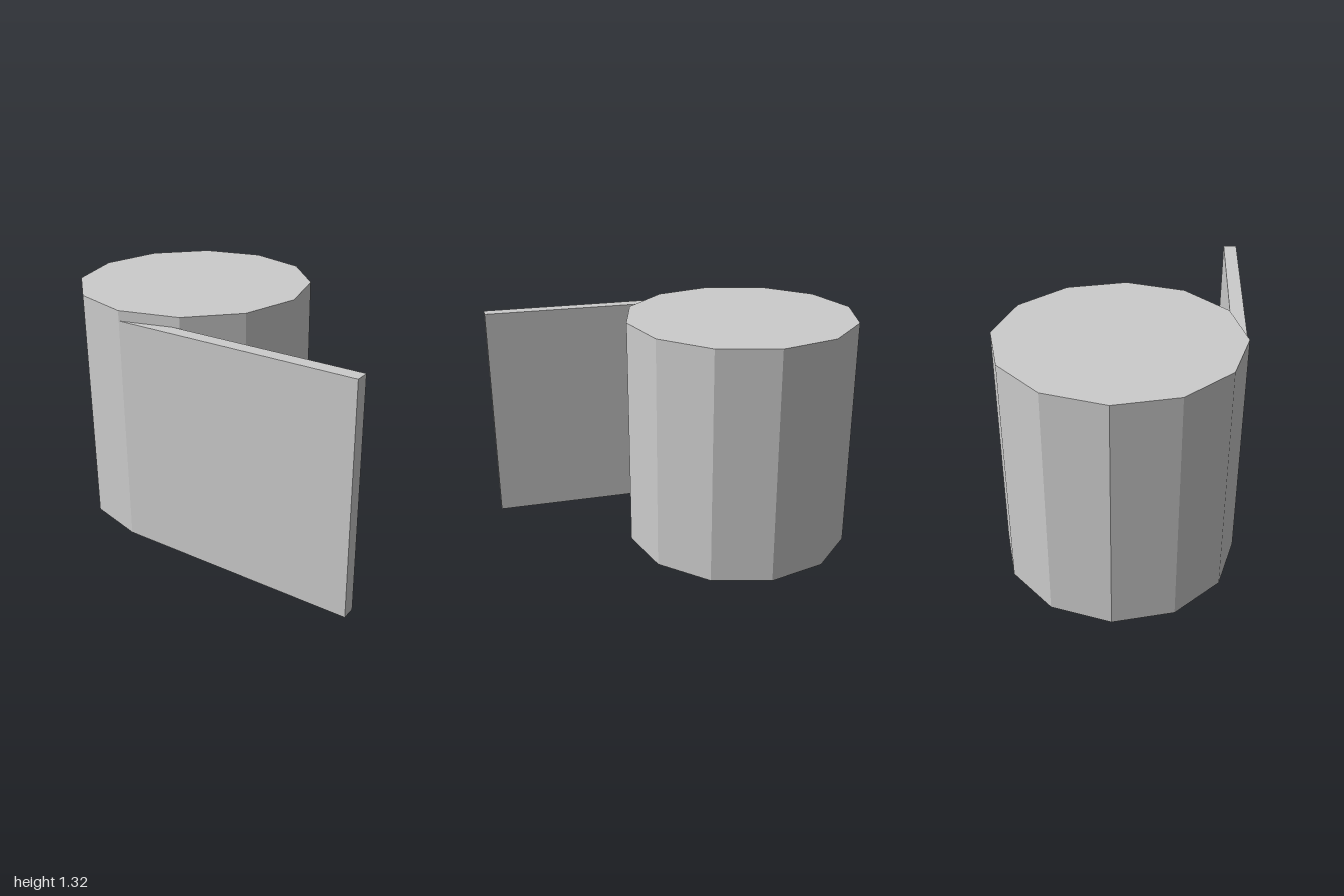
import * as THREE from 'three';

export function createModel() {
  const model = new THREE.Group();
  const grey = new THREE.MeshStandardMaterial({ color: 0xcccccc, flatShading: true });
  grey.name = 'light grey';

  const radius = 0.645;
  const centreX = -1 + radius;

  // Twelve-sided drum
  const drumHeight = 1.315;
  const drum = new THREE.Mesh(new THREE.CylinderGeometry(radius, radius, drumHeight, 12), grey);
  drum.name = 'drum';
  drum.position.set(centreX, drumHeight / 2, 0);
  model.add(drum);

  // Slightly lower flat wall running out from the front of the drum
  const wallHeight = 1.26, wallDepth = 0.077, wallLength = 1 - centreX;
  const wall = new THREE.Mesh(new THREE.BoxGeometry(wallLength, wallHeight, wallDepth), grey);
  wall.name = 'wall';
  wall.position.set(centreX + wallLength / 2, wallHeight / 2, radius - wallDepth / 2);
  model.add(wall);

  return model;
}
